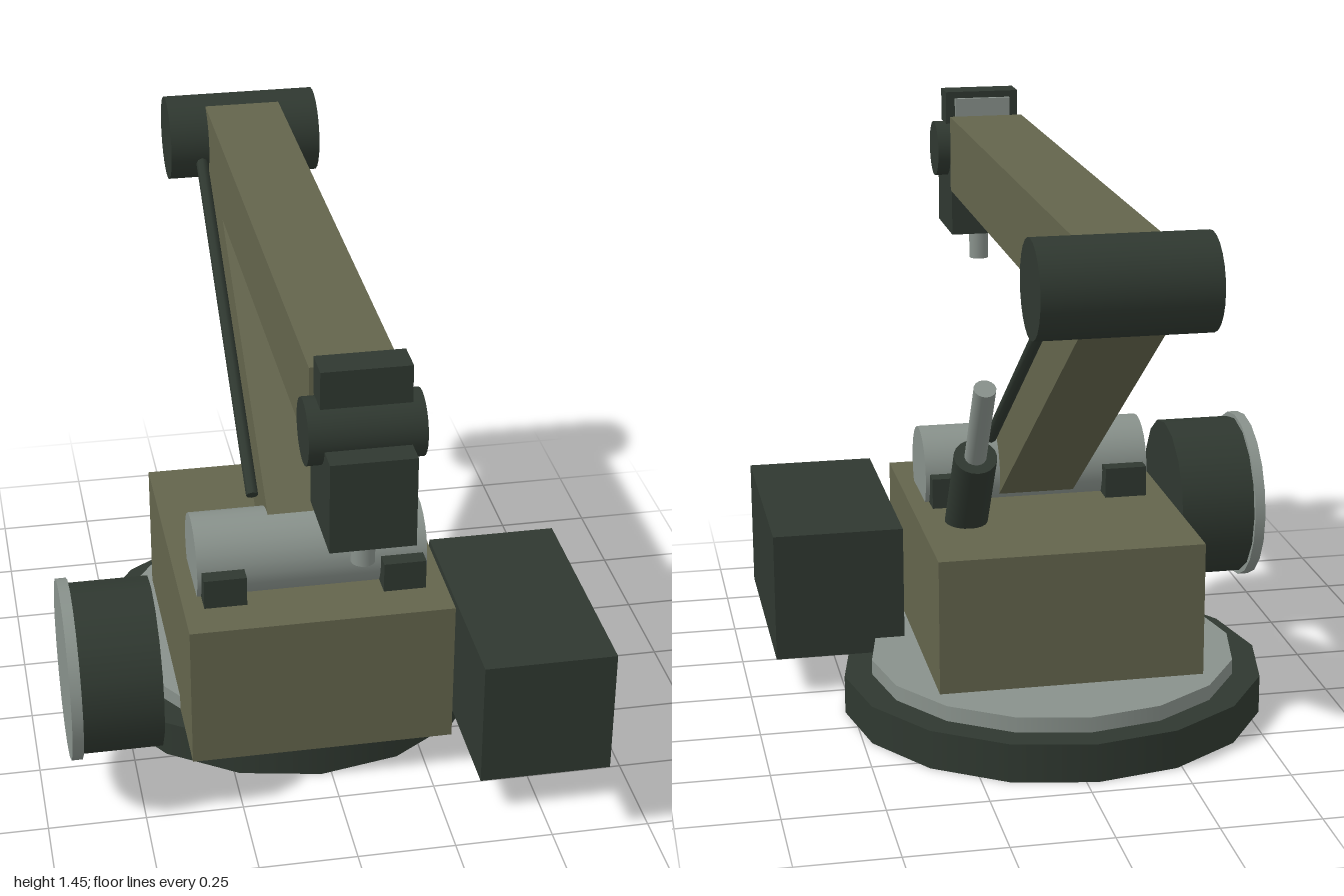
import * as THREE from 'three';

const X = -0.027; // centre plane of the arm

export function createModel() {
  const group = new THREE.Group();
  group.name = 'roboticArm';
  const mat = (name, color) => {
    const m = new THREE.MeshStandardMaterial({ color });
    m.name = name;
    return m;
  };
  const olive = mat('olive paint', 0x63644c);
  const dark = mat('dark green metal', 0x2f3830);
  const steel = mat('light steel', 0x88918b);

  const add = (name, geo, material, x, y, z) => {
    const mesh = new THREE.Mesh(geo, material);
    mesh.name = name;
    mesh.position.set(x, y, z);
    group.add(mesh);
    return mesh;
  };
  // box given by its limits on each axis
  const box = (name, m, [x0, x1], [y0, y1], [z0, z1]) =>
    add(name, new THREE.BoxGeometry(x1 - x0, y1 - y0, z1 - z0), m, (x0 + x1) / 2, (y0 + y1) / 2, (z0 + z1) / 2);
  // upright cylinder
  const disc = (name, m, r, x, z, y0, y1, seg) =>
    add(name, new THREE.CylinderGeometry(r, r, y1 - y0, seg), m, x, (y0 + y1) / 2, z);
  // cylinder lying along x
  const drum = (name, m, r, x0, x1, y, z, seg = 24) => {
    const c = add(name, new THREE.CylinderGeometry(r, r, x1 - x0, seg), m, (x0 + x1) / 2, y, z);
    c.rotation.z = Math.PI / 2;
    return c;
  };
  // part whose length (local y) runs between two [y, z] points at a fixed x
  const link = (name, makeGeo, m, x, [y0, z0], [y1, z1]) => {
    const mesh = add(name, makeGeo(Math.hypot(y1 - y0, z1 - z0)), m, x, (y0 + y1) / 2, (z0 + z1) / 2);
    mesh.rotation.x = Math.atan2(z1 - z0, y1 - y0);
    return mesh;
  };
  const round = (r, seg) => (len) => new THREE.CylinderGeometry(r, r, len, seg);

  // turntable and body
  disc('basePlate', dark, 0.547, X, -0.15, 0, 0.1, 16);
  disc('turntable', steel, 0.475, X, -0.15, 0.1, 0.14, 16);
  box('body', olive, [X - 0.34, X + 0.34], [0.1, 0.49], [-0.41, 0.42]);

  // side equipment
  box('controlBox', dark, [0.34, 0.68], [0.1, 0.44], [0, 0.63]);
  drum('sideMotor', dark, 0.219, -0.655, -0.45, 0.367, 0.335, 16);
  drum('sideMotorCover', steel, 0.23, -0.68, -0.652, 0.367, 0.335, 20);

  // shoulder
  drum('shoulder', steel, 0.114, X - 0.298, X + 0.298, 0.553, 0.155);
  for (const s of [-1, 1]) {
    const c = X + s * 0.232;
    box('shoulderBracket', dark, [c - 0.055, c + 0.055], [0.48, 0.57], [0, 0.31]);
  }

  // lower arm with twin rods
  link('lowerArm', (len) => new THREE.BoxGeometry(0.2, len, 0.2), olive, X, [0.553, 0.155], [1.285, -0.885]);
  for (const s of [-1, 1])
    link('armRod', round(0.016, 8), dark, X + s * 0.122, [0.66, 0.055], [1.298, -0.85]);

  // hydraulic ram
  link('ramSleeve', round(0.055, 20), dark, 0.191, [0.42, -0.064], [0.706, -0.253]);
  link('ramRod', round(0.028, 16), steel, 0.191, [0.65, -0.217], [0.921, -0.39]);

  // elbow and forearm
  drum('elbow', dark, 0.115, X - 0.207, X + 0.207, 1.285, -0.885);
  box('forearm', olive, [X - 0.102, X + 0.102], [1.18, 1.39], [-0.835, 0.767]);

  // wrist, hand and sensor
  link('wristShaft', round(0.033, 16), steel, X, [1.285, 0.74], [1.285, 0.86]);
  drum('wrist', dark, 0.077, X - 0.133, X + 0.133, 1.285, 0.863);
  box('hand', dark, [X - 0.098, X + 0.098], [1.05, 1.27], [0.77, 1]);
  disc('nozzle', steel, 0.028, X, 0.89, 0.955, 1.06, 16);
  box('sensor', dark, [X - 0.103, X + 0.103], [1.36, 1.45], [0.828, 0.91]);
  box('sensorWindow', steel, [X - 0.078, X + 0.078], [1.38, 1.432], [0.815, 0.828]);

  return group;
}
